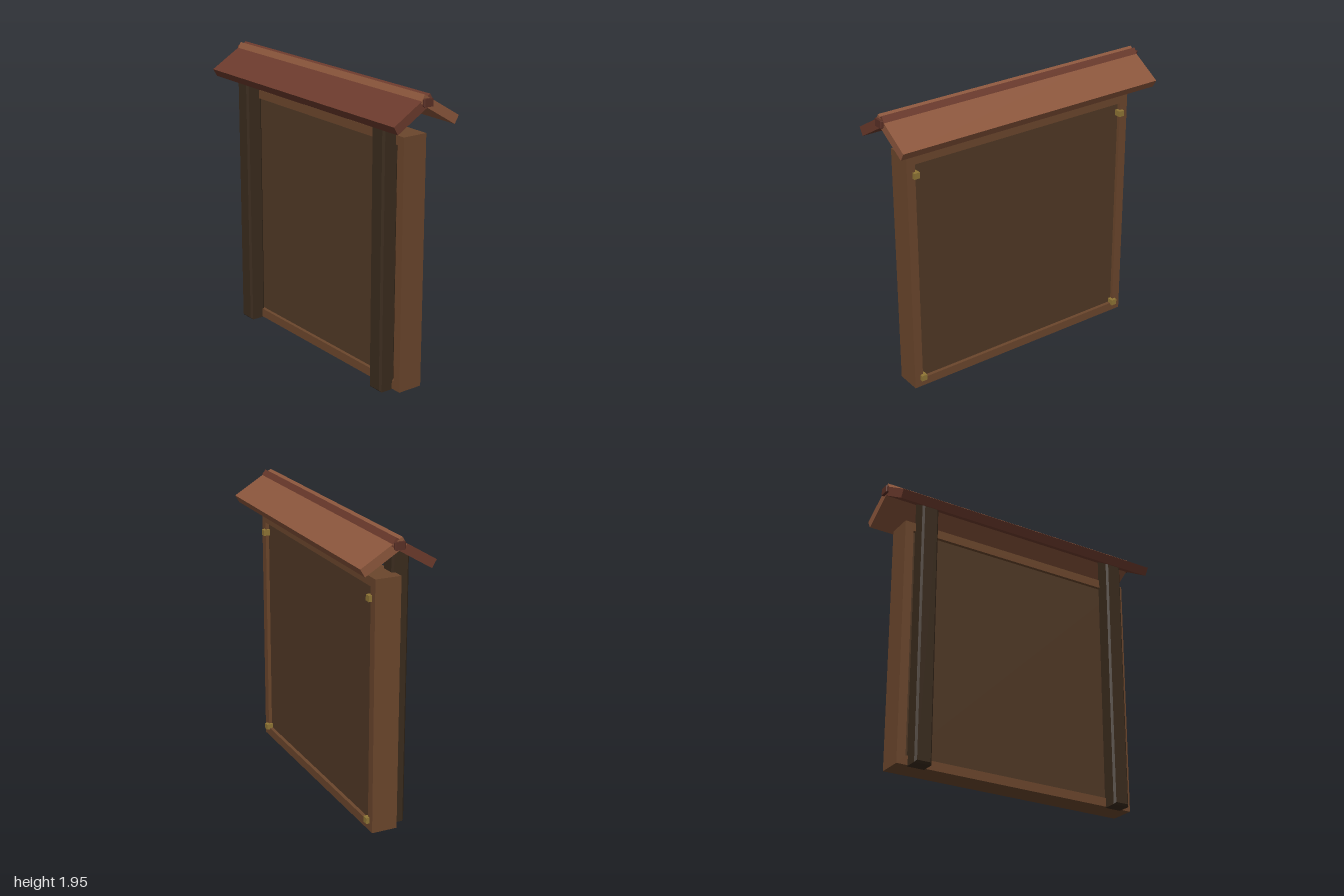
import * as THREE from 'three';

const mat = (color) => new THREE.MeshStandardMaterial({ color, flatShading: true });
const wood = {
  frame: mat(0x6b462c), panel: mat(0x503825), post: mat(0x3a2b1d),
  roofFront: mat(0x6b3a2c), roofBack: mat(0x8b563c), beam: mat(0x5a3026),
  brass: mat(0x8f7535),
};

function add(parent, name, geometry, material, x = 0, y = 0, z = 0) {
  const mesh = new THREE.Mesh(geometry, material);
  mesh.name = name;
  mesh.position.set(x, y, z);
  parent.add(mesh);
  return mesh;
}

// Box with a single flat chamfer on every edge, centred on the origin
function chamferedBox(w, h, d, c) {
  const x = w / 2 - c, y = h / 2 - c;
  const shape = new THREE.Shape([
    new THREE.Vector2(-x, -y), new THREE.Vector2(x, -y),
    new THREE.Vector2(x, y), new THREE.Vector2(-x, y),
  ]);
  const geometry = new THREE.ExtrudeGeometry(shape, {
    depth: d - 2 * c, bevelEnabled: true, bevelSegments: 1, bevelSize: c, bevelThickness: c,
  });
  return geometry.translate(0, 0, -d / 2 + c);
}

// Rectangular border with an opening
function frameGeometry(w, h, border, depth) {
  const rect = (Type, a, b) => new Type().moveTo(-a, -b).lineTo(a, -b).lineTo(a, b).lineTo(-a, b).closePath();
  const shape = rect(THREE.Shape, w / 2, h / 2);
  shape.holes.push(rect(THREE.Path, w / 2 - border, h / 2 - border));
  return new THREE.ExtrudeGeometry(shape, { depth, bevelEnabled: false }).translate(0, 0, -depth / 2);
}

export function createModel() {
  const model = new THREE.Group();
  model.name = 'noticeBoard';

  // Board: deep frame with a slightly recessed panel
  const midY = 0.842, midZ = -0.008;
  add(model, 'frame', frameGeometry(1.74, 1.675, 0.06, 0.174), wood.frame, 0, midY, midZ);
  add(model, 'panel', new THREE.BoxGeometry(1.62, 1.555, 0.126), wood.panel, 0, midY, midZ);

  for (const side of [-1, 1]) {
    const label = side > 0 ? 'left' : 'right';
    // Chamfered posts in front of the board
    add(model, label + 'Post', chamferedBox(0.118, 1.83, 0.118, 0.013), wood.post, side * 0.735, 0.915, 0.115);
    // Brass pegs on the back corners
    for (const y of [0.075, 1.55]) {
      add(model, label + (y > 1 ? 'Upper' : 'Lower') + 'Peg',
        new THREE.BoxGeometry(0.04, 0.04, 0.05), wood.brass, side * 0.81, y, -0.092);
    }
  }

  // Two sloping roof boards crossing at the ridge
  for (const side of [-1, 1]) {
    const board = add(model, side > 0 ? 'frontRoofBoard' : 'backRoofBoard',
      new THREE.BoxGeometry(1.964, 0.06, 0.317), side > 0 ? wood.roofFront : wood.roofBack,
      0, 1.847, side * 0.1);
    board.rotation.x = side * THREE.MathUtils.degToRad(31);
  }

  // Ridge beam
  add(model, 'ridgeBeam', chamferedBox(2, 0.05, 0.072, 0.006), wood.beam, 0, 1.905, 0);

  return model;
}
